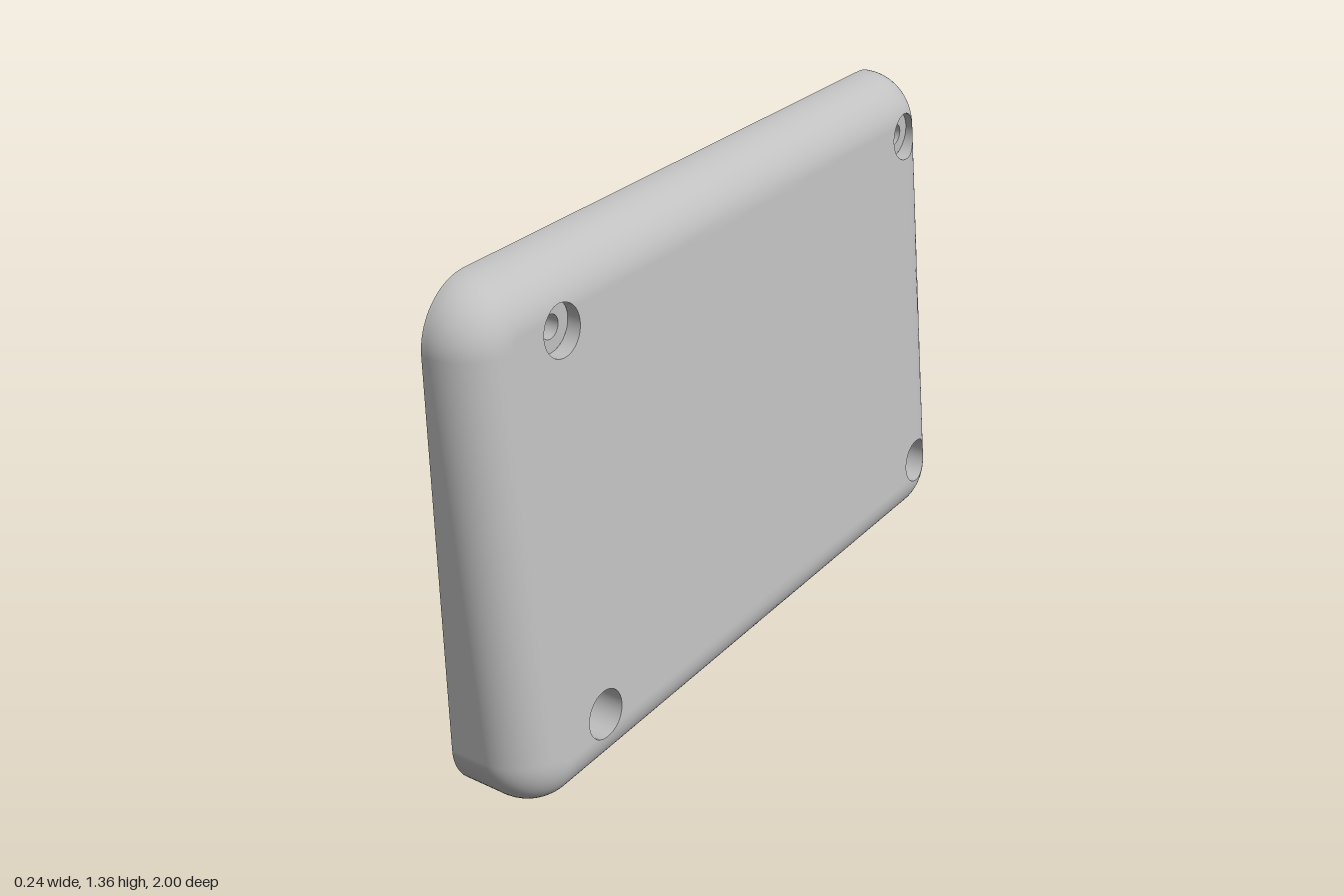
import * as THREE from 'three';

const HALF_Z = 1, HALF_Y = 0.68, MID_Y = 0.68;   // outline of the plate
const CORNER = 0.155, FILLET = 0.13;             // outline corner and rim radius
const BACK_X = -0.12, SLOPE = 0.0856;            // flat back, tilted front
const BORE = 0.03, COUNTERBORE = 0.065, FLOOR_X = -0.005;
const HOLE_Z = [0.7, -0.865], HOLE_Y = [1.19, 0.175];
const CUT_Z = -0.0825, CUT_Y = 0.6825;           // lines between the four quarters

// Point and normal of the front surface over (z, y): tilted plane with a round rim
function front([z, y]) {
  const dz = z, dy = y - MID_Y;
  const a = Math.abs(dz) - (HALF_Z - CORNER), b = Math.abs(dy) - (HALF_Y - CORNER);
  let out, gz, gy;
  if (a > 0 && b > 0) {
    out = Math.hypot(a, b); gz = a / out; gy = b / out;
  } else {
    out = Math.max(a, b); gz = a >= b ? 1 : 0; gy = 1 - gz;
  }
  gz *= Math.sign(dz); gy *= Math.sign(dy);
  const q = Math.min(FILLET, Math.max(0, FILLET - CORNER + out));
  const s = Math.sqrt(Math.max(0, FILLET * FILLET - q * q));
  const x = 0.12 - SLOPE * (y - 0.147) - FILLET + s;
  return {
    p: new THREE.Vector3(x, y, z),
    n: new THREE.Vector3(s, s * SLOPE + q * gy, q * gz).normalize(),
  };
}

// Skin over rows of { p, n }, each triangle turned to agree with its normals
function loft(rows) {
  const pos = [], nor = [], idx = [], w = rows[0].length;
  const flat = rows.flat();
  flat.forEach(({ p, n }) => { pos.push(p.x, p.y, p.z); nor.push(n.x, n.y, n.z); });
  const e1 = new THREE.Vector3(), e2 = new THREE.Vector3();
  const tri = (a, b, c) => {
    e1.subVectors(flat[b].p, flat[a].p);
    e2.subVectors(flat[c].p, flat[a].p);
    const d = e1.cross(e2).dot(flat[a].n) + e1.dot(flat[b].n) + e1.dot(flat[c].n);
    if (d >= 0) idx.push(a, b, c); else idx.push(a, c, b);
  };
  for (let i = 0; i < rows.length - 1; i++) {
    for (let j = 0; j < w - 1; j++) {
      const a = i * w + j;
      tri(a, a + 1, a + w);
      tri(a + 1, a + w + 1, a + w);
    }
  }
  const g = new THREE.BufferGeometry();
  g.setAttribute('position', new THREE.Float32BufferAttribute(pos, 3));
  g.setAttribute('normal', new THREE.Float32BufferAttribute(nor, 3));
  g.setIndex(idx);
  return g;
}

// Outer edge of one quarter, from the upright cut round the corner to the level cut
function quarterEdge(sz, sy) {
  const cz = sz * (HALF_Z - CORNER), cy = MID_Y + sy * (HALF_Y - CORNER);
  const ez = sz * HALF_Z, ey = MID_Y + sy * HALF_Y, pts = [], N = 18;
  for (let i = 0; i < N; i++) pts.push([CUT_Z + (cz - CUT_Z) * i / N, ey]);
  for (let i = 0; i < N; i++) {
    const t = i / N * Math.PI / 2;
    pts.push([cz + sz * CORNER * Math.sin(t), cy + sy * CORNER * Math.cos(t)]);
  }
  for (let i = 0; i <= N; i++) pts.push([ez, cy + (CUT_Y - cy) * i / N]);
  return pts;
}

export function createModel() {
  const grey = new THREE.MeshStandardMaterial({ color: 0xc0c0c0, side: THREE.DoubleSide });
  grey.name = 'light grey';
  const model = new THREE.Group();
  model.name = 'wedgePlate';
  const add = (name, geometry) => {
    const mesh = new THREE.Mesh(geometry, grey);
    mesh.name = name;
    model.add(mesh);
    return mesh;
  };
  const backY = (y) => Math.max(y, 0.01);   // underside rises slightly to the back

  const backOutline = [];
  const quarters = [[1, 1], [-1, 1], [-1, -1], [1, -1]];
  for (const [sz, sy] of quarters) {
    const hz = HOLE_Z[sz > 0 ? 0 : 1], hy = HOLE_Y[sy > 0 ? 0 : 1];
    const edge = quarterEdge(sz, sy);

    // Closed border of the quarter, finely spaced towards the rim
    const border = [...edge], M = 22;
    const ez = sz * HALF_Z, ey = MID_Y + sy * HALF_Y;
    for (let i = 1; i <= M; i++) {
      border.push([ez + (CUT_Z - ez) * (1 - Math.cos(i / M * Math.PI / 2)), CUT_Y]);
    }
    for (let i = M - 1; i >= 0; i--) {
      border.push([CUT_Z, ey + (CUT_Y - ey) * (1 - Math.cos(i / M * Math.PI / 2))]);
    }

    // Front surface spreading from the screw hole to the border
    const circle = border.map(([z, y]) => {
      const l = Math.hypot(z - hz, y - hy);
      return [hz + (z - hz) / l * COUNTERBORE, hy + (y - hy) / l * COUNTERBORE];
    });
    const rows = [], R = 40;
    for (let i = 0; i <= R; i++) {
      const t = (1 - Math.cos(i / R * Math.PI)) / 2;
      rows.push(border.map(([z, y], j) => front([
        circle[j][0] + (z - circle[j][0]) * t,
        circle[j][1] + (y - circle[j][1]) * t,
      ])));
    }
    add('frontFace', loft(rows));

    // Side wall back to the flat rear
    const rim = edge.map(front);
    add('sideWall', loft([rim, rim.map(({ p, n }) => ({
      p: new THREE.Vector3(BACK_X, backY(p.y), p.z), n,
    }))]));
    const part = edge.map(([z, y]) => new THREE.Vector2(z, backY(y)));
    backOutline.push(...(sz * sy > 0 ? part.reverse() : part));

    // Screw hole: wide recess, its floor and the narrow bore
    const top = circle.map((c) => ({
      p: front(c).p,
      n: new THREE.Vector3(0, hy - c[1], hz - c[0]).normalize(),
    }));
    add('recessWall', loft([top, top.map(({ p, n }) => ({
      p: new THREE.Vector3(FLOOR_X, p.y, p.z), n,
    }))]));
    add('recessFloor', new THREE.RingGeometry(BORE, COUNTERBORE, 48).rotateY(Math.PI / 2))
      .position.set(FLOOR_X, hy, hz);
    add('screwBore', new THREE.CylinderGeometry(BORE, BORE, FLOOR_X - BACK_X, 48, 1, true)
      .rotateZ(Math.PI / 2)).position.set((FLOOR_X + BACK_X) / 2, hy, hz);
  }

  // Flat back with the four bores
  const shape = new THREE.Shape(backOutline);
  for (const z of HOLE_Z) {
    for (const y of HOLE_Y) {
      shape.holes.push(new THREE.Path().absarc(z, y, BORE, 0, Math.PI * 2, true));
    }
  }
  add('backFace', new THREE.ShapeGeometry(shape, 24).rotateY(-Math.PI / 2)).position.x = BACK_X;

  return model;
}
